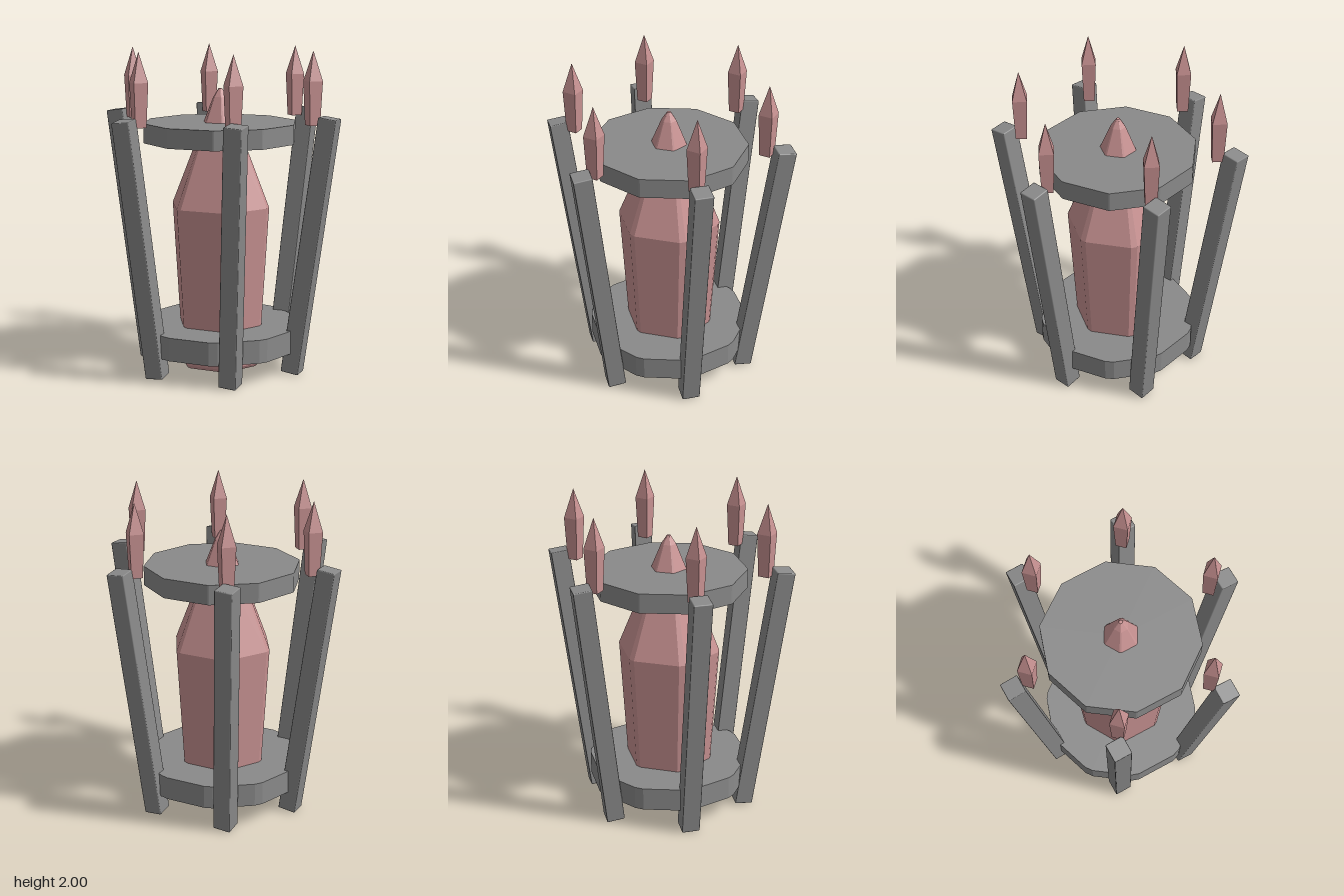
import * as THREE from 'three';
import { RoundedBoxGeometry } from 'three/addons/geometries/RoundedBoxGeometry.js';

// Regular polygon with a corner on +x, each corner cut by a fraction of the edge
function cutPolygon(sides, radius, cut) {
  const corner = (i) => {
    const a = (i / sides) * Math.PI * 2;
    return new THREE.Vector2(Math.cos(a) * radius, Math.sin(a) * radius);
  };
  const points = [];
  for (let i = 0; i < sides; i++) {
    points.push(corner(i).lerp(corner(i - 1), cut), corner(i).lerp(corner(i + 1), cut));
  }
  return points;
}

// Closed flat-sided loft through [radius, y] rings, listed from bottom to top
function loft(sides, cut, profile) {
  const rings = profile.map(([r, y]) =>
    cutPolygon(sides, r, cut).map((p) => new THREE.Vector3(p.x, y, p.y)));
  const n = sides * 2;
  const points = [];
  for (let i = 0; i < n; i++) {
    const j = (i + 1) % n;
    for (let k = 0; k < rings.length - 1; k++) {
      const a = rings[k][i], b = rings[k][j], c = rings[k + 1][j], d = rings[k + 1][i];
      points.push(a, d, c, a, c, b);
    }
    const last = rings.length - 1;
    points.push(new THREE.Vector3(0, profile[0][1], 0), rings[0][i], rings[0][j]);
    points.push(new THREE.Vector3(0, profile[last][1], 0), rings[last][j], rings[last][i]);
  }
  const geometry = new THREE.BufferGeometry().setFromPoints(points);
  geometry.computeVertexNormals();
  return geometry;
}

export function createModel() {
  const model = new THREE.Group();
  model.name = 'crystalLantern';

  const stone = new THREE.MeshStandardMaterial({ color: 0x8a8a8a });
  stone.name = 'grey stone';
  const crystal = new THREE.MeshStandardMaterial({ color: 0xc89292 });
  crystal.name = 'pink crystal';

  const add = (name, geometry, material, parent = model) => {
    const mesh = new THREE.Mesh(geometry, material);
    mesh.name = name;
    parent.add(mesh);
    return mesh;
  };

  // Large central crystal
  add('coreCrystal', loft(6, 0.07, [
    [0.252, 0.015], [0.266, 0.035], [0.33, 1.03], [0.113, 1.55], [0.047, 1.705], [0.012, 1.757],
  ]), crystal);

  // Plates holding the core
  add('lowerPlate', loft(10, 0.09, [[0.513, 0.135], [0.513, 0.28]]), stone);
  add('upperPlate', loft(10, 0.015, [[0.482, 1.43], [0.482, 1.55]]), stone);

  // Small crystal: tapered shaft with a pointed tip, joined as one profile
  const shaft = new THREE.CylinderGeometry(0.062, 0.048, 0.265, 4).toNonIndexed();
  shaft.translate(0, 1.6875, 0);
  shaft.computeVertexNormals();
  const tip = new THREE.ConeGeometry(0.062, 0.18, 4, 1, true).toNonIndexed();
  tip.translate(0, 1.91, 0);
  tip.computeVertexNormals();

  // Six leaning posts, each with a crystal floating by its top
  const up = new THREE.Vector3(0, 1, 0);
  for (let i = 0; i < 6; i++) {
    const a = (i / 6) * Math.PI * 2;
    const at = (r, y) => new THREE.Vector3(Math.cos(a) * r, y, Math.sin(a) * r);

    const foot = at(0.485, 0.008), head = at(0.708, 1.602);
    const axis = head.clone().sub(foot);
    const post = add('post', new RoundedBoxGeometry(0.113, axis.length(), 0.113, 1, 0.006), stone);
    post.position.copy(foot).lerp(head, 0.5);
    post.quaternion.setFromUnitVectors(up, axis.normalize());

    const small = new THREE.Group();
    small.name = 'smallCrystal';
    small.position.copy(at(0.6, 0));
    add('crystalShaft', shaft, crystal, small);
    add('crystalTip', tip, crystal, small);
    model.add(small);
  }
  return model;
}
